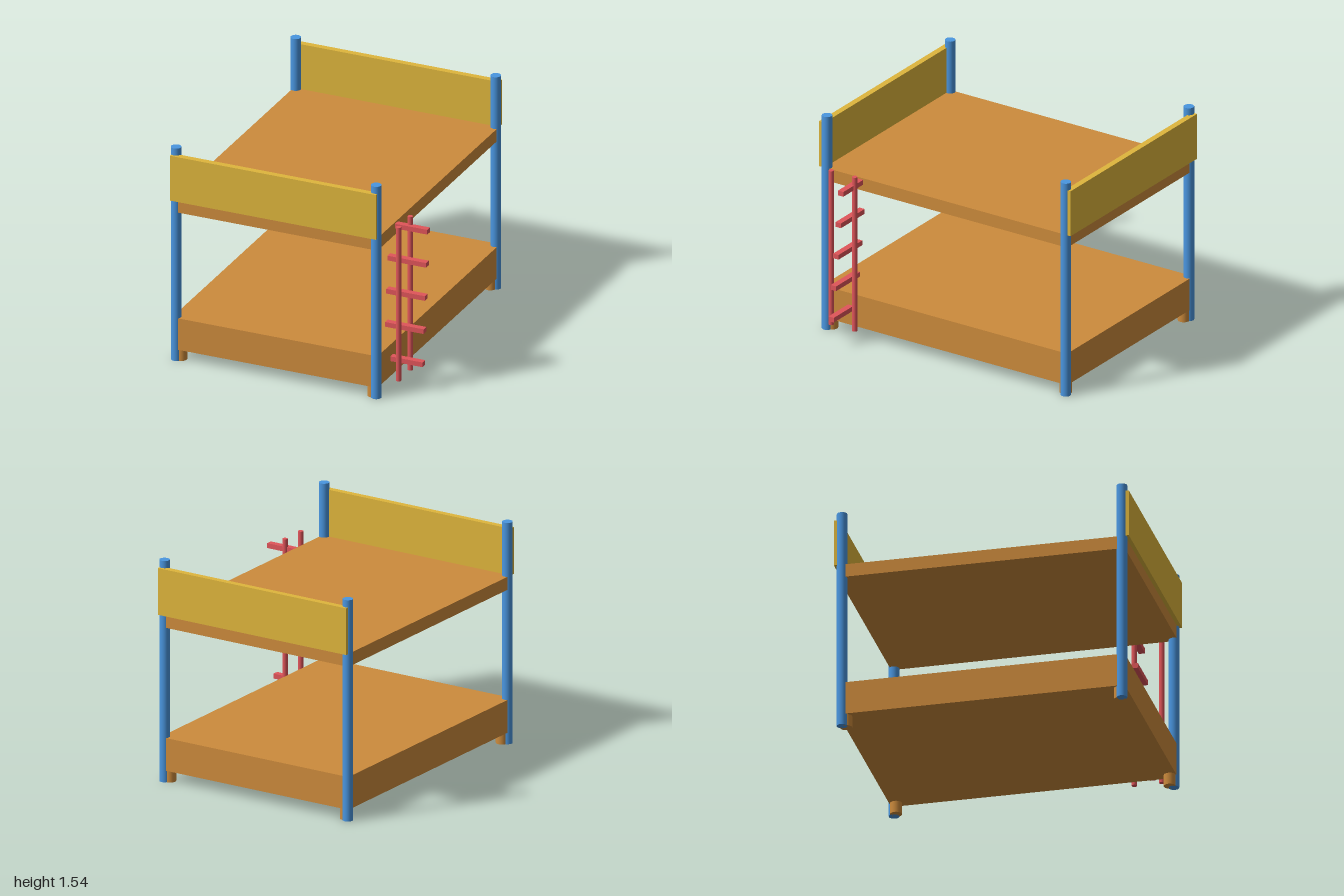
import * as THREE from 'three';

const mat = (color) => new THREE.MeshStandardMaterial({ color });

export function createModel() {
  const model = new THREE.Group();
  model.name = 'bunkBed';
  const wood = mat(0xcd8b3c), blue = mat(0x4a96e0), yellow = mat(0xdfb63c), red = mat(0xe0555a);
  const cx = -0.11; // the bed sits off-centre, leaving room for the ladder

  const add = (parent, name, geometry, material, x, y, z) => {
    const mesh = new THREE.Mesh(geometry, material);
    mesh.name = name;
    mesh.position.set(x, y, z);
    parent.add(mesh);
  };
  const box = (parent, name, m, w, y0, y1, d, x, z) =>
    add(parent, name, new THREE.BoxGeometry(w, y1 - y0, d), m, x, (y0 + y1) / 2, z);
  const pole = (parent, name, m, r, y0, y1, x, z) =>
    add(parent, name, new THREE.CylinderGeometry(r, r, y1 - y0, 32), m, x, (y0 + y1) / 2, z);

  // Lower and upper bunks
  box(model, 'lowerBunk', wood, 1.488, 0.08, 0.308, 1.945, cx, 0);
  box(model, 'upperBunk', wood, 1.488, 1.075, 1.165, 1.945, cx, 0);

  // End boards, corner posts and short feet
  for (const sz of [1, -1]) {
    const end = sz > 0 ? 'front' : 'back';
    box(model, end + 'Board', yellow, 1.49, 1.165, 1.49, 0.043, cx, sz * 0.9785);
    for (const sx of [1, -1]) {
      const side = sx > 0 ? 'Left' : 'Right';
      pole(model, end + side + 'Post', blue, 0.035, 0, 1.54, cx + sx * 0.725, sz * 0.949);
      pole(model, end + side + 'Foot', wood, 0.04, 0, 0.08, cx + sx * 0.695, sz * 0.928);
    }
  }

  // Ladder: two round rails, rungs stepping slightly back as they rise
  const ladder = new THREE.Group();
  ladder.name = 'ladder';
  model.add(ladder);
  for (const z of [0.84, 0.653]) pole(ladder, 'ladderRail', red, 0.018, 0.097, 1.21, 0.727, z);
  for (let i = 0; i < 5; i++) {
    const y = 0.206 + i * 0.2325;
    box(ladder, 'ladderRung', red, 0.28, y - 0.017, y + 0.017, 0.043, 0.727, 0.747 - i * 0.019);
  }
  return model;
}
